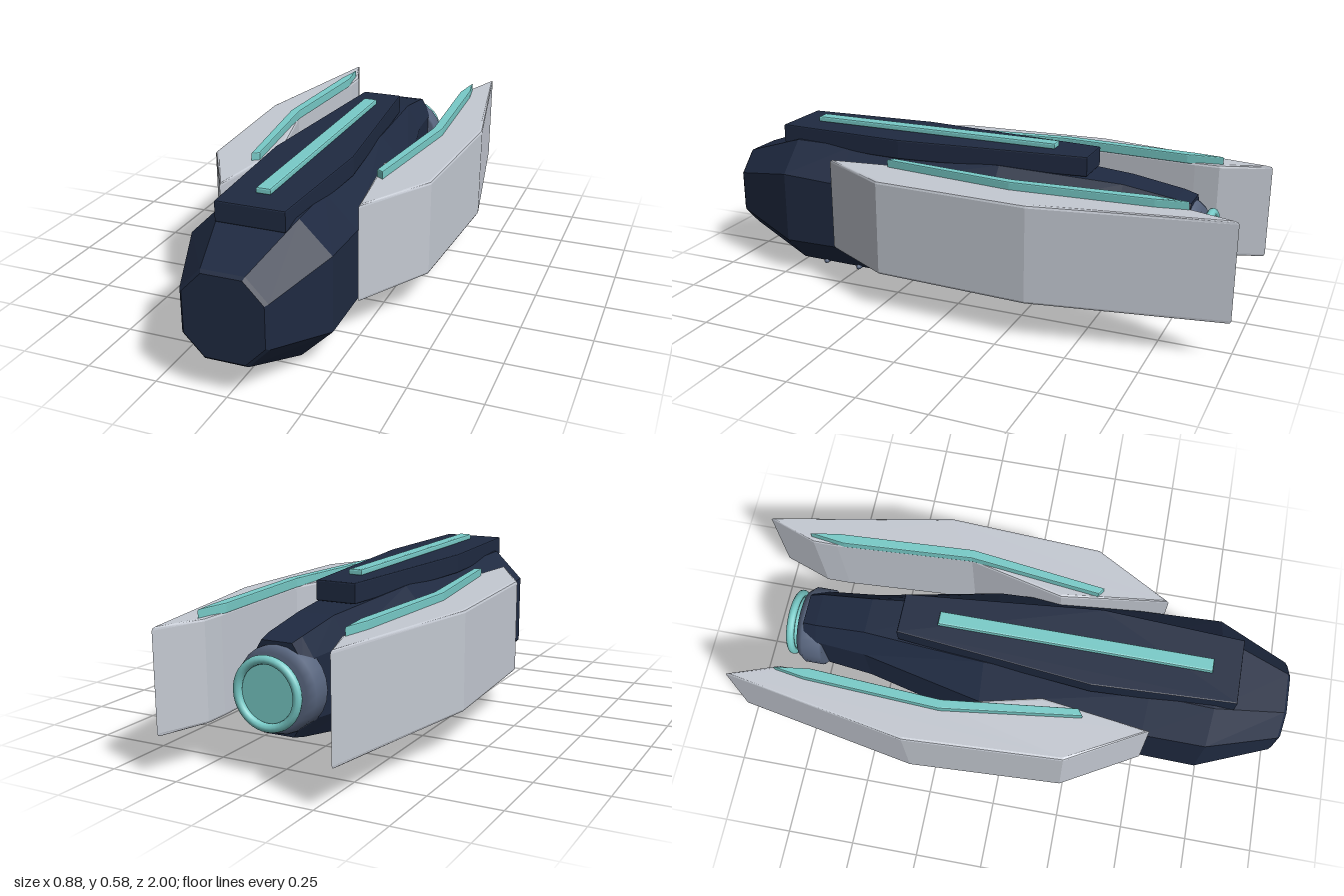
import * as THREE from 'three';

const mat = (name, color) => {
  const m = new THREE.MeshStandardMaterial({ color });
  m.name = name;
  return m;
};

// Plan outline [x, z] pulled between two heights, with small bevelled edges
function slab(outline, bottom, top, bevel) {
  const shape = new THREE.Shape(outline.map(([x, z]) => new THREE.Vector2(x, z)));
  const geo = new THREE.ExtrudeGeometry(shape, {
    depth: top - bottom - 2 * bevel, bevelEnabled: true, bevelThickness: bevel,
    bevelSize: bevel, bevelOffset: -bevel, bevelSegments: 2,
  });
  geo.rotateX(Math.PI / 2);
  geo.translate(0, top - bevel, 0);
  return geo;
}

// Faceted body through octagonal sections [z, halfWidth, bottom, top, flat share]
function loft(sections) {
  const rings = sections.map(([z, w, lo, hi, k]) => {
    const c = (lo + hi) / 2, h = (hi - lo) / 2;
    return [[1, -k], [1, k], [k, 1], [-k, 1], [-1, k], [-1, -k], [-k, -1], [k, -1]]
      .map(([x, y]) => [x * w, c + y * h, z]);
  });
  const pos = [];
  const tri = (...p) => p.forEach((v) => pos.push(...v));
  for (let i = 0; i < rings.length - 1; i++) {
    for (let j = 0; j < 8; j++) {
      const n = (j + 1) % 8;
      tri(rings[i][j], rings[i + 1][j], rings[i + 1][n]);
      tri(rings[i][j], rings[i + 1][n], rings[i][n]);
    }
  }
  const front = rings[0], back = rings[rings.length - 1];
  for (let j = 1; j < 7; j++) {
    tri(front[0], front[j], front[j + 1]);
    tri(back[0], back[j + 1], back[j]);
  }
  const geo = new THREE.BufferGeometry();
  geo.setAttribute('position', new THREE.Float32BufferAttribute(pos, 3));
  geo.computeVertexNormals();
  return geo;
}

export function createModel() {
  const navy = mat('navy hull', 0x1f2a41);
  const silver = mat('silver panel', 0xc4c9d2);
  const teal = mat('teal glow', 0x78cbc8);
  const slate = mat('slate metal', 0x58657e);

  const model = new THREE.Group();
  model.name = 'spacecraft';
  const add = (name, geo, material, parent = model) => {
    const mesh = new THREE.Mesh(geo, material);
    mesh.name = name;
    parent.add(mesh);
    return mesh;
  };

  // Hull, blunt nose to narrow tail
  add('hull', loft([
    [1.0, 0.138, 0.132, 0.418, 0.5],
    [0.99, 0.148, 0.122, 0.428, 0.5],
    [0.73, 0.245, 0.03, 0.515, 0.55],
    [0.5, 0.24, 0.022, 0.51, 0.52],
    [-0.1, 0.218, 0.003, 0.505, 0.5],
    [-0.55, 0.122, 0.085, 0.48, 0.55],
    [-0.74, 0.104, 0.12, 0.45, 0.6],
    [-0.79, 0.094, 0.132, 0.438, 0.6],
  ]), navy);

  // Raised back plate and its light bar
  add('spine', slab([[0.12, 0.8], [0.145, 0.29], [0.075, -0.42],
    [-0.075, -0.42], [-0.145, 0.29], [-0.12, 0.8]], 0.492, 0.565, 0.005), navy);
  add('spineLight', slab([[0.025, 0.7], [0.025, -0.28], [-0.025, -0.28], [-0.025, 0.7]],
    0.562, 0.585, 0.006), teal);

  // Side panels, each with a bent light strip on top
  for (const [side, s] of [['left', 1], ['right', -1]]) {
    const pod = new THREE.Group();
    pod.name = side + 'SidePanel';
    model.add(pod);
    const flip = (pts) => pts.map(([x, z]) => [x * s, z]);
    add(side + 'Panel', slab(flip([[0.315, -1], [0.25, -0.82], [0.25, -0.73], [0.28, -0.22],
      [0.197, 0.13], [0.25, 0.52], [0.41, 0.24], [0.44, -0.33]]), 0.14, 0.492, 0.01), silver, pod);
    add(side + 'PanelLight', slab(flip([[0.268, -0.83], [0.25, -0.7], [0.278, -0.22],
      [0.222, 0.262], [0.247, 0.28], [0.312, -0.22], [0.286, -0.72]]), 0.485, 0.52, 0.004), teal, pod);
  }

  // Tail engine: collar, glowing disc and ring
  const engine = new THREE.Group();
  engine.name = 'engine';
  engine.position.y = 0.283;
  model.add(engine);
  const collarProfile = [[0, -0.05], [0.138, -0.05], [0.145, -0.043], [0.145, 0.025],
    [0.125, 0.05], [0, 0.05]].map(([r, y]) => new THREE.Vector2(r, y));
  const collarGeo = new THREE.LatheGeometry(collarProfile, 24);
  collarGeo.rotateX(-Math.PI / 2);
  add('engineCollar', collarGeo, slate, engine).position.z = -0.77;
  const discGeo = new THREE.CylinderGeometry(0.1, 0.1, 0.04, 32);
  discGeo.rotateX(Math.PI / 2);
  add('engineDisc', discGeo, teal, engine).position.z = -0.825;
  add('engineRing', new THREE.TorusGeometry(0.11, 0.015, 10, 40), teal, engine).position.z = -0.85;

  // Belly bars with rounded ends
  const barGeo = new THREE.CapsuleGeometry(0.01, 0.27, 4, 8);
  barGeo.rotateZ(Math.PI / 2);
  [0.63, 0.485, 0.34].forEach((z, i) => {
    add('bellyBar' + (i + 1), barGeo, slate).position.set(0, 0.026 - i * 0.003, z);
  });

  return model;
}
